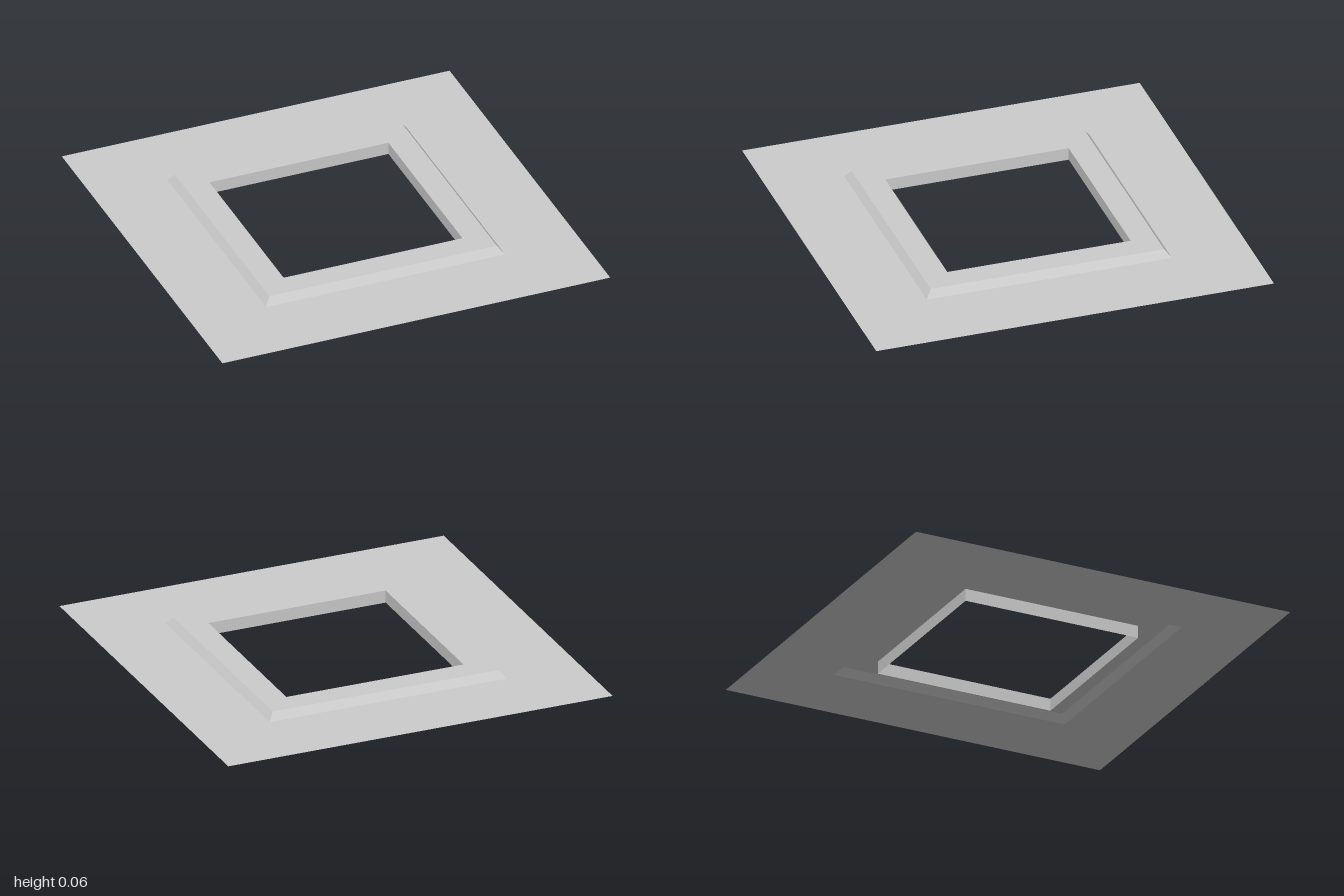
import * as THREE from 'three';

// Square ring of sheet: four flat sides swept through [halfWidth, height] points
function squareRing(name, profile, material) {
  const points = profile.map(([half, y]) => new THREE.Vector2(half * Math.SQRT2, y));
  const geometry = new THREE.LatheGeometry(points, 4, Math.PI / 4).toNonIndexed();
  geometry.computeVertexNormals();
  const mesh = new THREE.Mesh(geometry, material);
  mesh.name = name;
  return mesh;
}

export function createModel() {
  const group = new THREE.Group();
  group.name = 'squareFrame';
  const lightGrey = new THREE.MeshStandardMaterial({ color: 0xcccccc, side: THREE.DoubleSide });
  lightGrey.name = 'light grey';

  const flangeY = 0.025, topY = 0.063;
  const outer = 1, bevelFoot = 0.616, bevelTop = 0.587, opening = 0.461;

  group.add(
    // Wide thin sheet around the frame
    squareRing('flange', [[outer, flangeY], [bevelFoot, flangeY]], lightGrey),
    // Sloped outer edge of the raised frame
    squareRing('bevel', [[bevelFoot, flangeY], [bevelTop, topY]], lightGrey),
    // Flat top of the raised frame
    squareRing('rim', [[bevelTop, topY], [opening, topY]], lightGrey),
    // Upright lining of the opening, reaching below the flange
    squareRing('openingWall', [[opening, topY], [opening, 0]], lightGrey)
  );
  return group;
}
